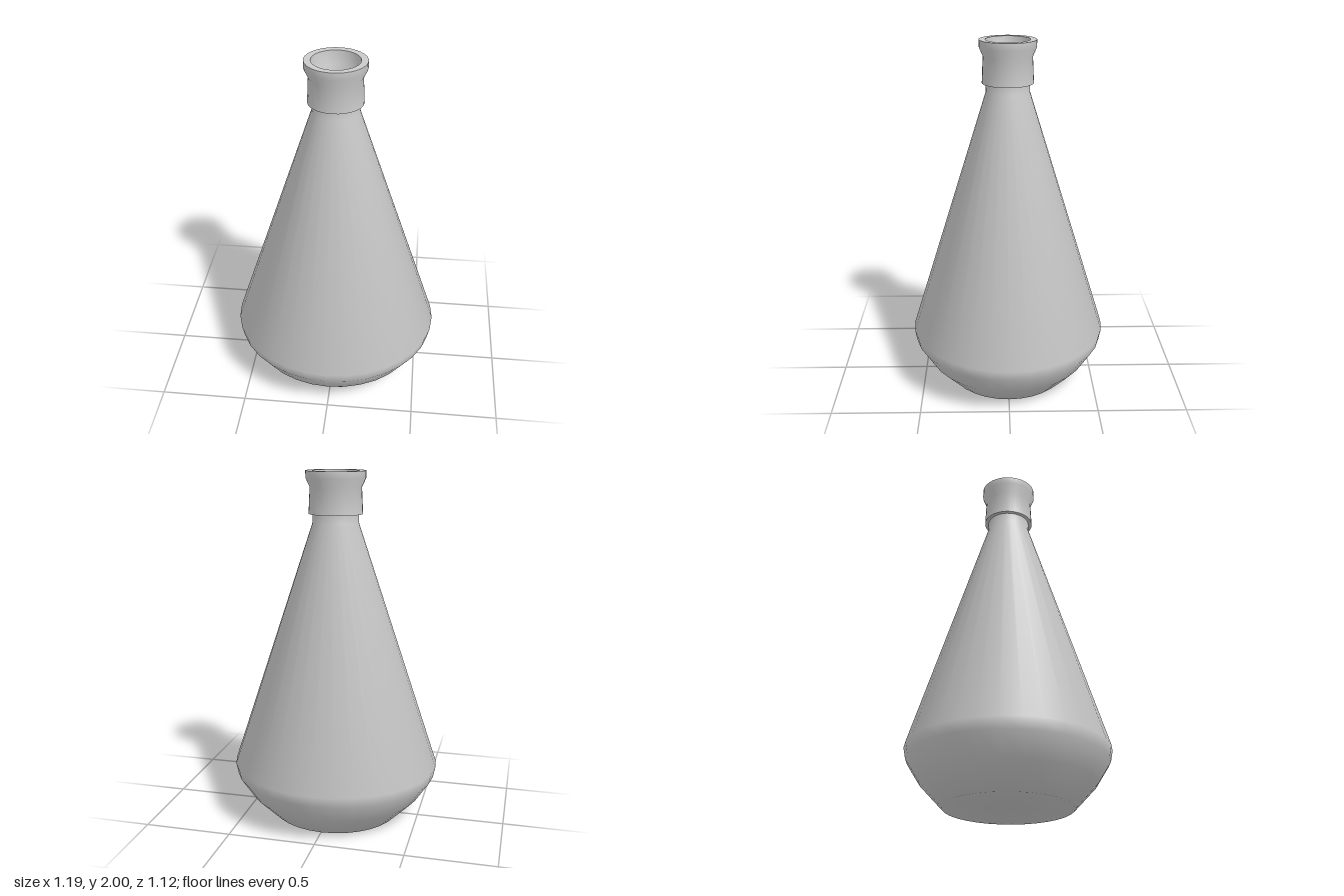
import * as THREE from 'three';
import { toCreasedNormals } from 'three/addons/utils/BufferGeometryUtils.js';

const SEGMENTS = 32;
const DEPTH = 0.94; // the flask is slightly oval, narrower along z

// Revolves a [radius, height] profile into an oval solid with sharp rims
function turned(name, profile, color) {
  const points = profile.map(([r, y]) => new THREE.Vector2(r, y));
  const lathe = new THREE.LatheGeometry(points, SEGMENTS).scale(1, 1, DEPTH);
  const mesh = new THREE.Mesh(
    toCreasedNormals(lathe, 0.9),
    new THREE.MeshStandardMaterial({ color })
  );
  mesh.name = name;
  return mesh;
}

export function createModel() {
  const group = new THREE.Group();
  group.name = 'flask';

  // Glass body: up the outside, over the lip, and down the inside
  group.add(turned('glassBody', [
    [0, 0], [0.375, 0], [0.505, 0.13], [0.585, 0.25], [0.597, 0.31],
    [0.13, 1.715], [0.13, 1.765],                              // cone and neck
    [0.152, 1.765], [0.145, 1.91], [0.168, 1.96], [0.168, 2],  // collar and lip
    [0.131, 2], [0.125, 1.92], [0.112, 1.89], [0.11, 1.71],    // inside of neck
    [0.57, 0.31], [0.56, 0.26], [0.485, 0.15], [0.365, 0.025], [0, 0.025],
  ], 0xcccccc));

  // Liquid filling the lower part of the flask
  group.add(turned('liquid', [
    [0, 0.03], [0.36, 0.03], [0.48, 0.155], [0.555, 0.262], [0.565, 0.31],
    [0.43, 0.71], [0, 0.71],
  ], 0x8a2fd0));

  return group;
}
